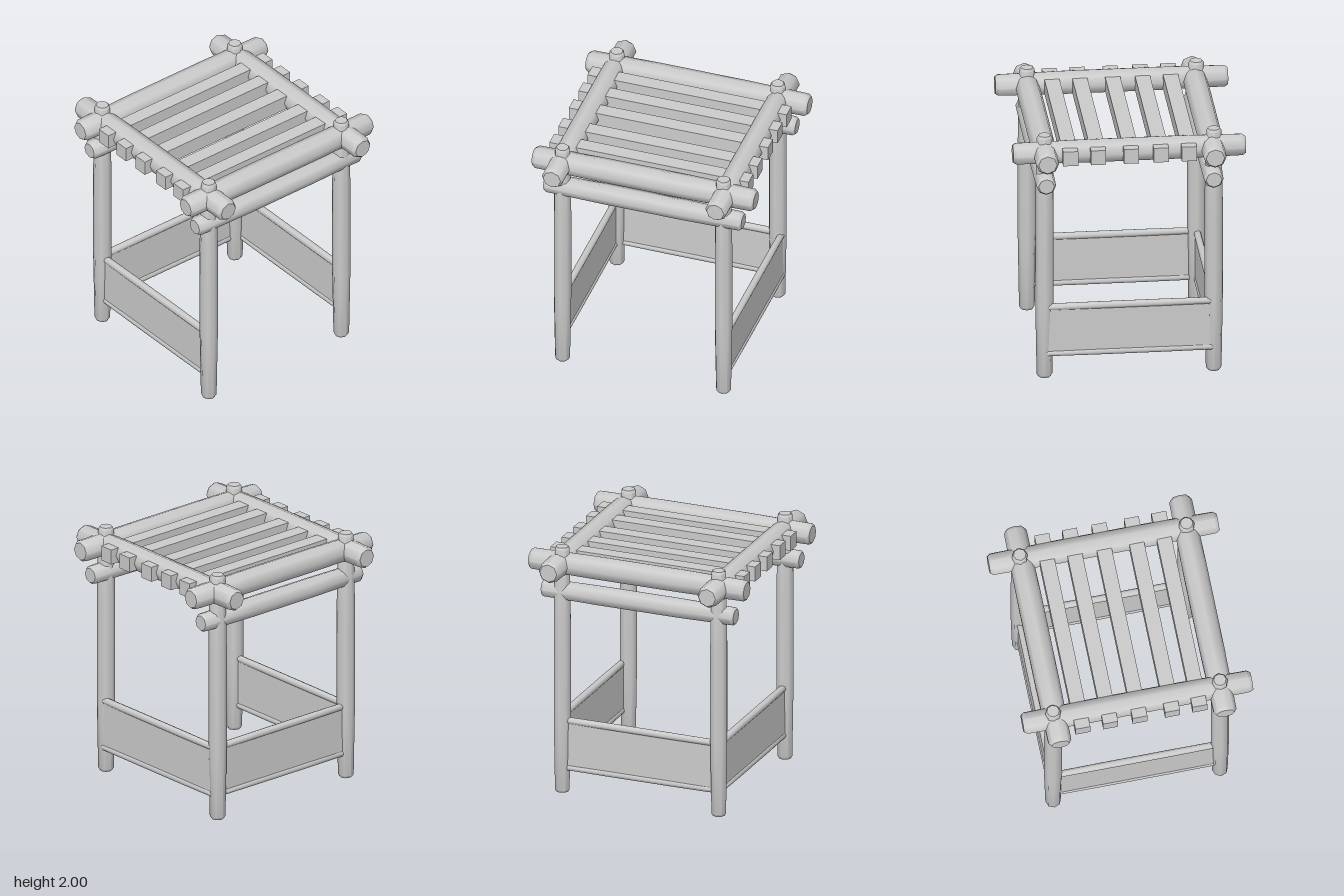
import * as THREE from 'three';
import { toCreasedNormals } from 'three/addons/utils/BufferGeometryUtils.js';

const material = new THREE.MeshStandardMaterial({ color: 0xcccccc });

// Eight-sided log along y, slightly thicker in the middle, with bevelled ends.
function logGeometry(length, radius, endRadius, bevel) {
  const h = length / 2;
  const profile = [
    [0, -h], [endRadius * 0.8, -h], [endRadius, -h + bevel],
    [radius, -h * 0.4], [radius, h * 0.4],
    [endRadius, h - bevel], [endRadius * 0.8, h], [0, h],
  ].map(([r, y]) => new THREE.Vector2(r, y));
  return toCreasedNormals(new THREE.LatheGeometry(profile, 8), 0.85);
}

export function createModel() {
  const model = new THREE.Group();

  function add(parent, name, geometry, x, y, z) {
    const mesh = new THREE.Mesh(geometry, material);
    mesh.name = name;
    mesh.position.set(x, y, z);
    parent.add(mesh);
    return mesh;
  }

  // Corner posts
  const post = logGeometry(2, 0.07, 0.06, 0.02);
  for (const x of [-0.65, 0.645]) {
    for (const z of [-0.63, 0.663]) add(model, 'cornerPost', post, x, 1, z);
  }

  // Roof frame: crossing logs, plus a lower support log on each side
  const beam = logGeometry(1.78, 0.095, 0.088, 0.025);
  const beamX = beam.clone().rotateZ(Math.PI / 2);
  const beamZ = beam.clone().rotateX(Math.PI / 2);
  const supportZ = logGeometry(1.59, 0.081, 0.075, 0.022).rotateX(Math.PI / 2);
  for (const z of [-0.645, 0.667]) add(model, 'roofCrossBeam', beamX, 0, 1.86, z);
  for (const x of [-0.637, 0.645]) {
    add(model, 'roofSideBeam', beamZ, x, 1.86, 0);
    add(model, 'supportBeam', supportZ, x, 1.637, 0.005);
  }

  // Roof slats running front to back through the cross beams
  const slat = new THREE.BoxGeometry(0.115, 0.118, 1.6);
  for (const x of [-0.448, -0.233, -0.005, 0.247, 0.46]) {
    add(model, 'roofSlat', slat, x, 1.86, 0.012);
  }

  // Low walls on three sides: a board between two round rails
  const board = new THREE.BoxGeometry(1.26, 0.385, 0.036);
  const rail = logGeometry(1.29, 0.029, 0.027, 0.008).rotateZ(Math.PI / 2);
  function addWall(name, x, z, turn) {
    const wall = new THREE.Group();
    wall.name = name;
    wall.position.set(x, 0, z);
    wall.rotation.y = turn;
    add(wall, 'wallBoard', board, 0, 0.394, 0);
    for (const y of [0.203, 0.585]) add(wall, 'wallRail', rail, 0, y, 0);
    model.add(wall);
  }
  addWall('frontWall', 0, 0.667, 0);
  addWall('backWall', 0, -0.665, 0);
  addWall('sideWall', -0.655, 0.015, Math.PI / 2);

  return model;
}
